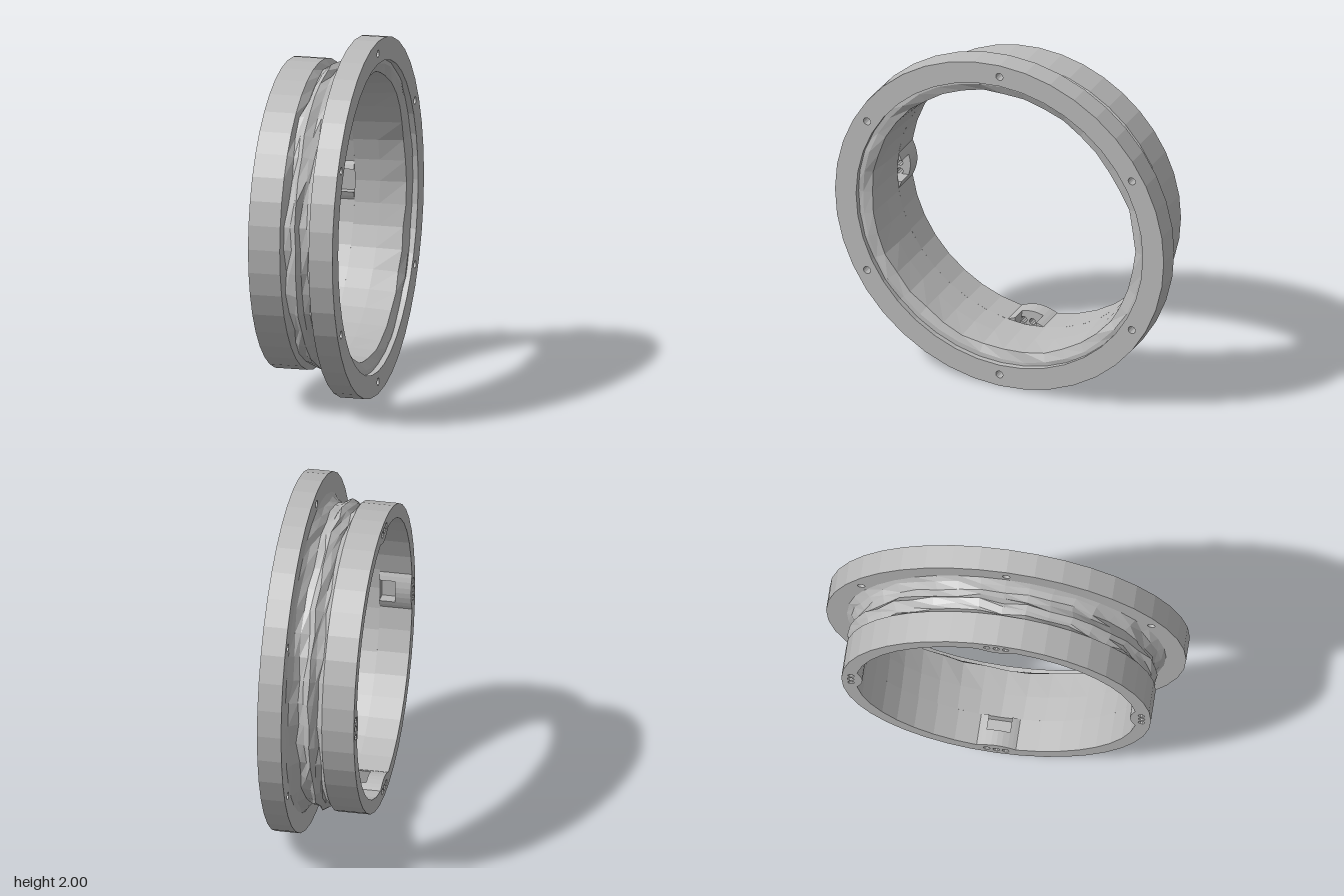
import * as THREE from 'three';
import { mergeVertices } from 'three/addons/utils/BufferGeometryUtils.js';

const SEG = 40;
const polar = (r, a) => new THREE.Vector2(r * Math.cos(a), r * Math.sin(a));

// Repeatable noise in -1..1
const noise = (i, j) => {
  const s = Math.sin(i * 127.1 + j * 311.7) * 43758.5453;
  return (s - Math.floor(s)) * 2 - 1;
};

// Faceted normals
function facet(geo) {
  const g = geo.index ? geo.toNonIndexed() : geo;
  g.computeVertexNormals();
  return g;
}

function circle(r, n = SEG, cx = 0, cy = 0) {
  return Array.from({ length: n }, (_, i) => {
    const p = polar(r, (i / n) * Math.PI * 2);
    return new THREE.Vector2(p.x + cx, p.y + cy);
  });
}

// Extrude an outline with holes along x, from x0 to x1
function slice(outline, holes, x0, x1) {
  const shape = new THREE.Shape(outline);
  shape.holes = holes.map((h) => new THREE.Path(h));
  const g = new THREE.ExtrudeGeometry(shape, { depth: x1 - x0, bevelEnabled: false });
  g.translate(0, 0, x0);
  g.rotateY(Math.PI / 2);
  return facet(g);
}

// Bore outline with four inward pads, optionally notched by a pocket
function boreOutline(pocket) {
  const pts = [];
  const half = 0.14;
  for (let q = 0; q < 4; q++) {
    const mid = (q * Math.PI) / 2;
    const pad = (t) => 0.78 - 0.037 * (1 - (t / half) ** 2);
    for (const t of [-0.14, -0.115, -0.085]) pts.push(polar(pad(t), mid + t));
    if (pocket) {
      pts.push(polar(0.835, mid - 0.085), polar(0.835, mid + 0.085));
    } else {
      for (const t of [-0.04, 0, 0.04]) pts.push(polar(pad(t), mid + t));
    }
    for (const t of [0.085, 0.115, 0.14]) pts.push(polar(pad(t), mid + t));
    // Plain arc to the next pad
    const span = Math.PI / 2 - 2 * half;
    for (let k = 1; k < 8; k++) pts.push(polar(0.78, mid + half + (span * k) / 8));
  }
  return pts;
}

export function createModel() {
  const group = new THREE.Group();
  const grey = new THREE.MeshStandardMaterial({ color: 0xbababa });
  grey.name = 'grey metal';
  const add = (name, geo) => {
    const m = new THREE.Mesh(geo, grey);
    m.name = name;
    m.position.y = 1;
    group.add(m);
  };

  // Wide flange with six bolt holes
  const boltHoles = Array.from({ length: 6 }, (_, i) => {
    const p = polar(0.93, Math.PI / 2 + (i * Math.PI) / 3);
    return circle(0.022, 12, p.x, p.y);
  });
  add('flange', slice(circle(1), [circle(0.872), ...boltHoles], 0.12, 0.255));

  // Rear rim with three pin holes at each pad
  const pinHoles = [];
  for (let q = 0; q < 4; q++) {
    for (const t of [-0.065, 0, 0.065]) {
      const p = polar(0.808, (q * Math.PI) / 2 + t);
      pinHoles.push(circle(0.019, 10, p.x, p.y));
    }
  }
  add('rearRim', slice(circle(0.86), [boreOutline(false), ...pinHoles], -0.26, -0.17));

  // Pocketed band in front of the rim
  add('pocketBand', slice(circle(0.86), [boreOutline(true)], -0.17, -0.08));

  // Rough grooved neck, stepped seat inside the flange, and bore
  const profile = [
    [0.86, -0.08], [0.822, -0.055], [0.835, -0.028], [0.855, 0], [0.83, 0.03],
    [0.825, 0.065], [0.855, 0.1], [0.89, 0.122], [0.9, 0.2], [0.9, 0.225],
    [0.85, 0.225], [0.8, 0.205], [0.787, 0.06], [0.78, -0.08], [0.86, -0.08],
  ].map(([r, x]) => new THREE.Vector2(r, x));
  let neck = new THREE.LatheGeometry(profile, SEG);
  const pos = neck.attributes.position;
  const n = profile.length;
  for (let i = 0; i <= SEG; i++) {
    for (let j = 0; j < n; j++) {
      const c = i % SEG;
      const rough = j >= 1 && j <= 6 ? 0.012 : j === 10 || j === 11 ? 0.007 : 0;
      const k = i * n + j;
      const s = 1 + rough * noise(c, j);
      pos.setXYZ(k, pos.getX(k) * s, pos.getY(k) + rough * noise(c + 50, j), pos.getZ(k) * s);
    }
  }
  neck.deleteAttribute('uv');
  neck.deleteAttribute('normal');
  neck = mergeVertices(neck);
  neck.rotateZ(-Math.PI / 2);
  add('neck', facet(neck));

  return group;
}
